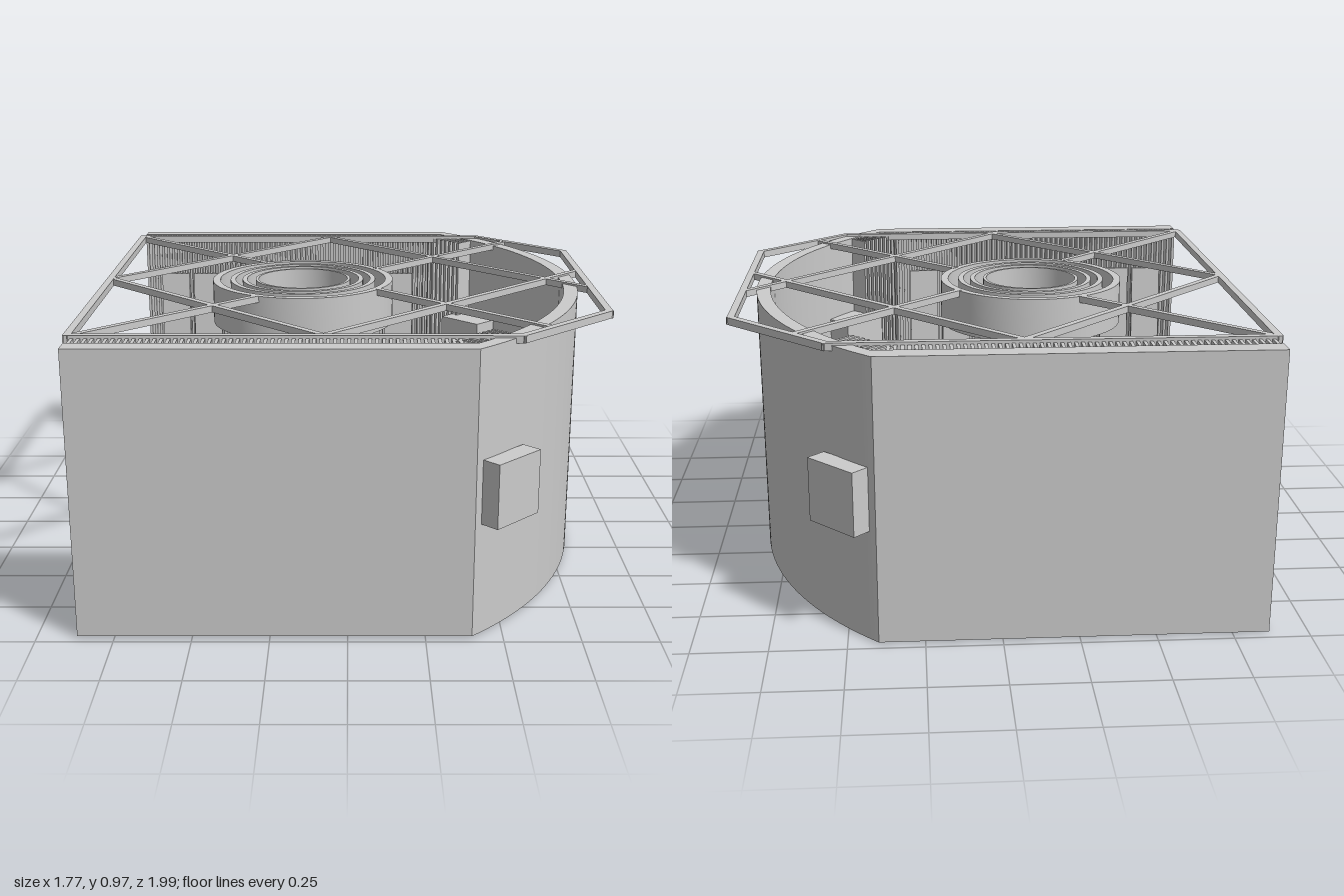
import * as THREE from 'three';
import { toCreasedNormals } from 'three/addons/utils/BufferGeometryUtils.js';

const grey = new THREE.MeshStandardMaterial({ color: 0xcccccc });

function add(parent, name, geometry, x = 0, y = 0, z = 0, ry = 0) {
  const mesh = new THREE.Mesh(geometry, grey);
  mesh.name = name;
  mesh.position.set(x, y, z);
  mesh.rotation.y = ry;
  parent.add(mesh);
  return mesh;
}

// Horizontal bar between two [x, z] points
function bar(parent, name, a, b, y, width, height) {
  const dx = b[0] - a[0], dz = b[1] - a[1];
  const box = new THREE.BoxGeometry(Math.hypot(dx, dz) + width * 0.7, height, width);
  add(parent, name, box, (a[0] + b[0]) / 2, y, (a[1] + b[1]) / 2, Math.atan2(-dz, dx));
}

// Upright tube with a rectangular section
function ring(inner, outer, height) {
  const h = height / 2;
  const points = [[inner, -h], [outer, -h], [outer, h], [inner, h], [inner, -h]];
  return toCreasedNormals(new THREE.LatheGeometry(points.map(p => new THREE.Vector2(...p)), 64), 0.6);
}

// U-shaped outer wall: two straight sides joined by a shallow arc
function wallGeometry() {
  const cx = -0.479, R = 1.309, r = 1.26;
  const A = Math.asin(0.97 / R), a = Math.asin(0.9 / r);
  const shape = new THREE.Shape();
  shape.moveTo(-0.87, -0.97);
  shape.lineTo(0.4, -0.97);
  shape.absarc(cx, 0, R, -A, A, false);
  shape.lineTo(-0.87, 0.97);
  shape.lineTo(-0.87, 0.9);
  shape.lineTo(0.4, 0.9);
  shape.absarc(cx, 0, r, a, -a, true);
  shape.lineTo(-0.87, -0.9);
  shape.closePath();
  const g = new THREE.ExtrudeGeometry(shape, { depth: 0.957, bevelEnabled: false, curveSegments: 48 });
  g.rotateX(-Math.PI / 2);
  return toCreasedNormals(g, 0.3);
}

// Upright panel whose upper half leans back to the wall
function panelGeometry(s) {
  const profile = [[0.785, 0.005], [0.805, 0.005], [0.805, 0.48], [0.825, 0.81], [0.815, 0.81], [0.785, 0.48]];
  const shape = new THREE.Shape(profile.map(([z, y]) => new THREE.Vector2(s * z, y)));
  const g = new THREE.ExtrudeGeometry(shape, { depth: 0.117, bevelEnabled: false });
  g.rotateY(-Math.PI / 2);
  return g;
}

export function createModel() {
  const model = new THREE.Group();
  model.name = 'curvedRoom';

  add(model, 'outerWall', wallGeometry(), 0, 0.005, 0);

  for (const s of [-1, 1]) {
    const side = new THREE.Group();
    side.name = s > 0 ? 'frontSide' : 'backSide';
    model.add(side);

    // Thin upright slats along the straight wall
    const slat = new THREE.BoxGeometry(0.011, 0.96, 0.075);
    for (let i = 0; i < 57; i++) add(side, 'slat', slat, -0.855 + i * 0.0215, 0.48, s * 0.865);

    // Slats turned across the corner
    for (let i = 0; i < 9; i++) {
      const t = i * 0.0165;
      add(side, 'cornerSlat', slat, 0.355 + t, 0.48, s * (0.88 - t), s * Math.PI / 4);
    }

    // Leaning panels
    const panel = panelGeometry(s);
    for (let i = 0; i < 8; i++) add(side, 'panel', panel, -0.68 + i * 0.1365, 0, 0);

    // Boxes on either face of the corner
    add(side, 'outerBox', new THREE.BoxGeometry(0.205, 0.215, 0.07), 0.515, 0.493, s * 0.9, s * Math.PI / 4);
    add(side, 'innerBox', new THREE.BoxGeometry(0.195, 0.3, 0.135), 0.515, 0.5, s * 0.675, s * Math.PI / 4);
  }

  // Overhead frame: border, then mirrored braces
  const frame = new THREE.Group();
  frame.name = 'ceilingFrame';
  model.add(frame);
  const border = [[-0.872, -0.83], [0.545, -0.83], [0.87, -0.51], [0.87, 0.51], [0.545, 0.83], [-0.872, 0.83]];
  border.forEach((p, i) => bar(frame, 'frameBorder', p, border[(i + 1) % 6], 0.957, 0.025, 0.025));
  for (const s of [-1, 1]) {
    const braces = [
      [[-0.87, 0.83], [-0.32, 0.29]],
      [[-0.87, 0], [-0.075, 0.82]],
      [[-0.075, 0.82], [0.865, -0.14]],
      [[0.11, 0.18], [0.655, 0.72]],
    ];
    for (const [a, b] of braces) {
      bar(frame, 'frameBrace', [a[0], s * a[1]], [b[0], s * b[1]], 0.957, 0.023, 0.023);
    }
  }

  // Concentric rings hung in the frame
  for (const [inner, outer] of [[0.303, 0.33], [0.247, 0.266], [0.205, 0.222], [0.163, 0.174]]) {
    add(frame, 'ceilingRing', ring(inner, outer, 0.155), -0.165, 0.89, 0);
  }

  // Console standing inside the curve
  const console = new THREE.Group();
  console.name = 'console';
  model.add(console);
  add(console, 'consoleBase', new THREE.BoxGeometry(0.135, 0.15, 0.5), 0.482, 0.08, 0.03);
  add(console, 'consoleBack', new THREE.BoxGeometry(0.035, 0.2, 0.45), 0.442, 0.25, 0.03);
  const wheel = add(console, 'consoleWheel', ring(0.13, 0.19, 0.05), 0.535, 0.2, 0.02);
  wheel.rotation.z = Math.PI / 2;
  const hub = add(console, 'consoleHub', new THREE.CylinderGeometry(0.06, 0.06, 0.05, 32), 0.535, 0.2, 0.02);
  hub.rotation.z = Math.PI / 2;

  return model;
}
